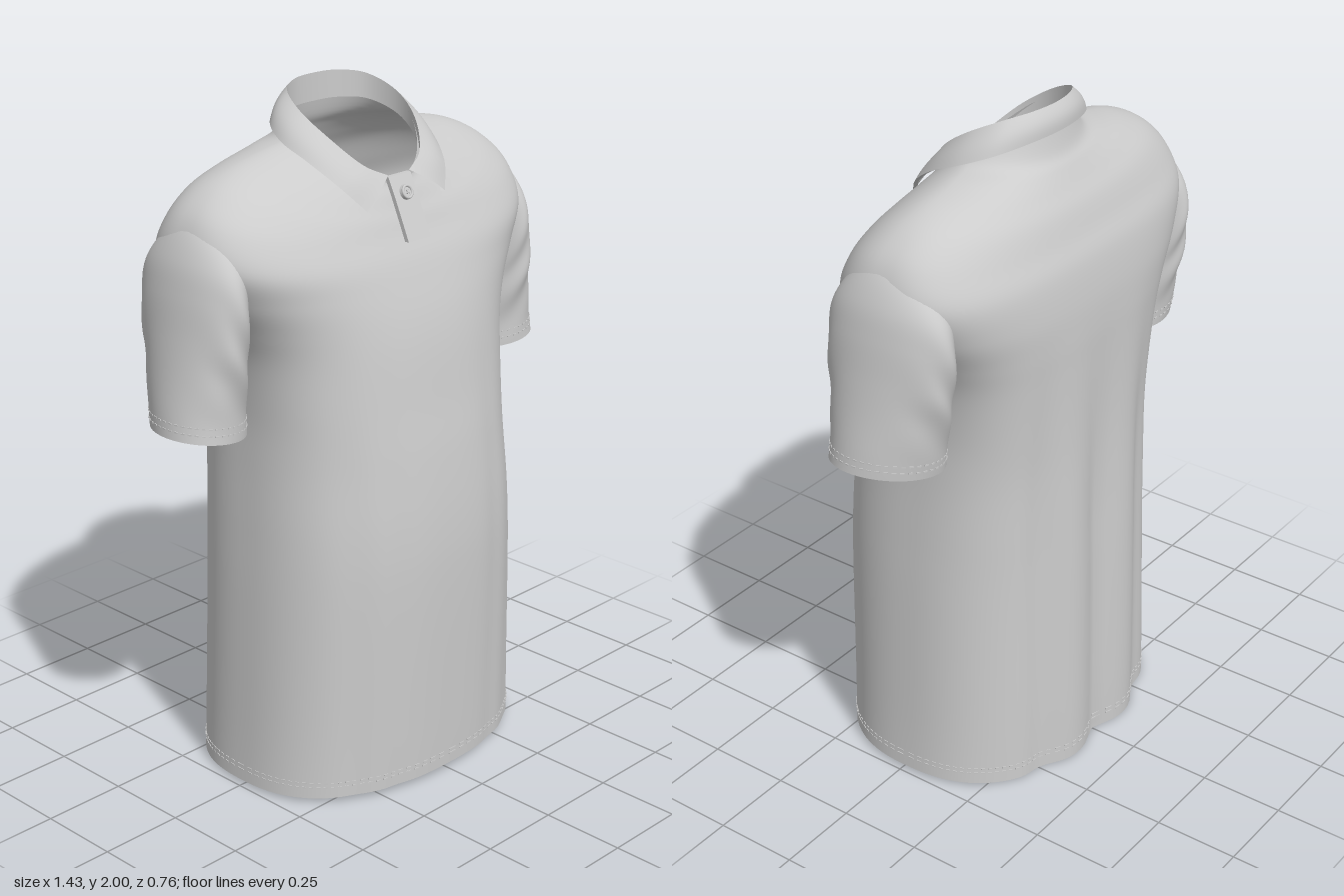
import * as THREE from 'three';
import { mergeGeometries } from 'three/addons/utils/BufferGeometryUtils.js';

const cloth = new THREE.MeshStandardMaterial({ color: 0xcccccc, side: THREE.DoubleSide, roughness: 0.8 });
const V = (x, y, z) => new THREE.Vector3(x, y, z);
const bell = (x, c, w) => Math.exp(-(((x - c) / w) ** 2));
const spow = (t, e) => Math.sign(t) * Math.abs(t) ** e;

// Smooth blend through the rows of a table, v in 0..1
function sample(rows, v) {
  const f = v * (rows.length - 1), i = Math.min(Math.floor(f), rows.length - 2), t = f - i;
  const r = (k) => rows[Math.max(0, Math.min(rows.length - 1, k))];
  return rows[0].map((_, c) => {
    const [a, b, d, e] = [r(i - 1)[c], r(i)[c], r(i + 1)[c], r(i + 2)[c]];
    return b + 0.5 * t * (d - a + t * (2 * a - 5 * b + 4 * d - e + t * (3 * (b - d) + e - a)));
  });
}

// Skin a grid of points; closed grids wrap around in u
function skin(fn, nu, nv, closed) {
  const pos = [], index = [], cols = closed ? nu : nu + 1;
  for (let j = 0; j <= nv; j++)
    for (let i = 0; i < cols; i++) pos.push(...fn(i / nu, j / nv).toArray());
  for (let j = 0; j < nv; j++)
    for (let i = 0; i < nu; i++) {
      const a = j * cols + i, b = j * cols + ((i + 1) % cols);
      index.push(a, a + cols, b, b, a + cols, b + cols);
    }
  const g = new THREE.BufferGeometry();
  g.setAttribute('position', new THREE.Float32BufferAttribute(pos, 3));
  g.setIndex(index);
  g.computeVertexNormals();
  return g;
}

// Torso rings: half width, front z, back z, side y, front y, back y, centre z, front and back squareness
const torsoRows = [
  [0.485, 0.37, -0.375, 0.015, 0.025, 0.005, 0, 2.4, 2.5],
  [0.475, 0.375, -0.375, 0.2, 0.2, 0.2, 0, 2.4, 2.5],
  [0.46, 0.383, -0.368, 0.6, 0.6, 0.6, 0, 2.4, 2.5],
  [0.45, 0.378, -0.362, 0.8, 0.8, 0.8, 0, 2.4, 2.6],
  [0.44, 0.358, -0.357, 1, 1, 1, -0.01, 2.4, 2.7],
  [0.44, 0.335, -0.355, 1.15, 1.15, 1.15, -0.02, 2.5, 2.9],
  [0.46, 0.313, -0.355, 1.3, 1.3, 1.3, -0.04, 2.5, 3],
  [0.5, 0.292, -0.355, 1.4, 1.4, 1.4, -0.05, 2.5, 3],
  [0.56, 0.265, -0.35, 1.5, 1.49, 1.5, -0.06, 2.6, 3],
  [0.61, 0.24, -0.335, 1.61, 1.56, 1.6, -0.065, 2.7, 2.9],
  [0.585, 0.212, -0.31, 1.71, 1.62, 1.67, -0.065, 2.6, 2.7],
  [0.515, 0.195, -0.285, 1.78, 1.66, 1.74, -0.07, 2.4, 2.5],
  [0.42, 0.18, -0.257, 1.824, 1.69, 1.79, -0.07, 2.2, 2.3],
  [0.31, 0.167, -0.232, 1.851, 1.72, 1.835, -0.07, 2.1, 2.1],
  [0.23, 0.155, -0.21, 1.872, 1.745, 1.875, -0.06, 2, 2],
  [0.191, 0.15, -0.189, 1.92, 1.765, 1.965, -0.045, 2, 2],
];

function torsoPoint(u, v) {
  const [w, zf, zb, ys, yf, yb, cz, nf, nb] = sample(torsoRows, v);
  const a = u * Math.PI * 2, s = Math.sin(a), e = 2 / (s > 0 ? nf : nb);
  const x = w * spow(Math.cos(a), e);
  let z = cz + (s > 0 ? zf - cz : cz - zb) * spow(s, e);
  const y = ys + ((s > 0 ? yf : yb) - ys) * Math.abs(s) ** 1.5;
  // soft hanging folds, deeper on the back
  const drape = 1 - THREE.MathUtils.smoothstep(y, 0.7, 1.5), ax = Math.abs(x);
  if (s < 0) z += s * s * drape * (0.028 * bell(ax, 0, 0.05) - 0.01 * bell(ax, 0.14, 0.06) + 0.022 * bell(ax, 0.25, 0.05));
  else z -= s * s * drape * (0.006 * bell(ax, 0.2, 0.04) + 0.01 * bell(ax, 0.33, 0.05));
  return V(x, y, z);
}

// Sleeve rings: inner x, inner y, outer x, outer y, front z, back z
const sleeveRows = [
  [0.44, 1.113, 0.715, 1.148, 0.1, -0.2],
  [0.445, 1.19, 0.705, 1.22, 0.1, -0.212],
  [0.452, 1.28, 0.688, 1.32, 0.112, -0.232],
  [0.465, 1.36, 0.672, 1.42, 0.124, -0.25],
  [0.475, 1.45, 0.655, 1.53, 0.13, -0.26],
  [0.475, 1.53, 0.632, 1.62, 0.115, -0.245],
  [0.455, 1.59, 0.587, 1.7, 0.07, -0.195],
  [0.42, 1.64, 0.52, 1.75, 0.01, -0.14],
];

function sleevePoint(u, v) {
  const [xi, yi, xo, yo, zf, zb] = sample(sleeveRows, v);
  const a = u * Math.PI * 2, c = Math.cos(a), s = Math.sin(a), k = (c + 1) / 2;
  // slanting wrinkles rising from the armpit; the outer fold sits slightly forward
  const crease = 1 + 0.035 * Math.sin(v * 24 - c * 5) * bell(v, 0.38, 0.22) * s * s;
  const forward = 0.025 * c * (1 - v);
  return V(xi + (xo - xi) * k, yi + (yo - yi) * k, (zf + zb) / 2 + ((zf - zb) / 2) * s * crease + forward);
}

// Dashed stitch line lying on a surface at height v
function stitches(fn, v, count) {
  const parts = [];
  for (let i = 0; i < count; i++) {
    const p = fn(i / count, v), q = fn((i + 0.55) / count, v);
    const g = new THREE.BoxGeometry(0.004, 0.004, p.distanceTo(q));
    const m = new THREE.Object3D();
    m.position.copy(p).lerp(q, 0.5);
    m.lookAt(q);
    m.updateMatrix();
    parts.push(g.applyMatrix4(m.matrix));
  }
  return mergeGeometries(parts);
}

// Half curves of the collar from front to back centre, mirrored into full ones
const collarCurve = (half) => new THREE.CatmullRomCurve3([
  ...half.map((p) => V(...p)),
  ...half.slice(0, -1).reverse().map(([x, y, z]) => V(-x, y, z)),
]);
const foldLine = collarCurve([
  [0.042, 1.775, 0.15], [0.11, 1.81, 0.125], [0.17, 1.885, 0.05], [0.187, 1.945, -0.04],
  [0.155, 1.985, -0.125], [0.085, 1.998, -0.17], [0, 2, -0.183],
]);
const leafEdge = collarCurve([
  [0.155, 1.7, 0.182], [0.208, 1.768, 0.13], [0.246, 1.833, 0.04], [0.253, 1.872, -0.05],
  [0.213, 1.905, -0.135], [0.115, 1.925, -0.19], [0, 1.93, -0.208],
]);

// Collar leaf: rolls over the fold line and falls to the pointed edge
function leafPoint(u, v) {
  const p = foldLine.getPoint(u).lerp(leafEdge.getPoint(u), v), bulge = 0.008 * Math.sin(Math.PI * v);
  const out = V(p.x, 0, p.z + 0.02).normalize();
  return p.addScaledVector(out, bulge).add(V(0, bulge * 0.3, 0));
}
// Thickness lip tucked back under the edge
const lipPoint = (u, v) => {
  const p = leafPoint(u, 1), out = V(p.x, 0, p.z + 0.02).normalize();
  return p.addScaledVector(out, -0.012 * v);
};
// Upright band inside the neck, running down behind the torso's neckline
const bandPoint = (u, v) => {
  const p = foldLine.getPoint(u), drop = 0.025 + 0.055 * Math.sin(Math.PI * u);
  return V(p.x, p.y - drop * v, p.z);
};

export function createModel() {
  const model = new THREE.Group();
  const add = (name, geometry, parent = model) => {
    const mesh = new THREE.Mesh(geometry, cloth);
    mesh.name = name;
    parent.add(mesh);
  };

  add('torso', skin(torsoPoint, 128, 90, true));
  for (const v of [0.02, 0.026]) add('hemStitching', stitches(torsoPoint, v, 110));

  // Sleeves, mirrored by reflecting x and reversing the ring direction
  for (const side of [1, -1]) {
    const sleeve = new THREE.Group();
    sleeve.name = side > 0 ? 'leftSleeve' : 'rightSleeve';
    const point = (u, v) => {
      const p = sleevePoint(side > 0 ? u : 1 - u, v);
      p.x *= side;
      return p;
    };
    add('sleeveBody', skin(point, 64, 48, true), sleeve);
    for (const v of [0.06, 0.095]) add('cuffStitching', stitches(point, v, 44), sleeve);
    model.add(sleeve);
  }

  const collar = new THREE.Group();
  collar.name = 'collar';
  add('collarLeaf', skin(leafPoint, 96, 10, false), collar);
  add('collarLip', skin(lipPoint, 96, 1, false), collar);
  add('collarBand', skin(bandPoint, 96, 4, false), collar);
  model.add(collar);

  // Button placket: thin side profile extruded across the chest
  const front = [[0.235, 1.603], [0.212, 1.655], [0.185, 1.715], [0.157, 1.772]];
  const back = front.map(([z, y]) => [z - 0.014, y]).reverse();
  const profile = new THREE.Shape([...front, ...back].map(([z, y]) => new THREE.Vector2(z, y)));
  const placket = new THREE.ExtrudeGeometry(profile, { depth: 0.088, bevelEnabled: false });
  add('placket', placket.rotateY(-Math.PI / 2).translate(0.04, 0, 0));

  // Button with a raised rim and crossed thread
  const button = new THREE.Group();
  button.name = 'button';
  add('buttonDisc', new THREE.CylinderGeometry(0.02, 0.022, 0.012, 24).rotateX(Math.PI / 2), button);
  add('buttonRim', new THREE.TorusGeometry(0.017, 0.004, 8, 24).translate(0, 0, 0.006), button);
  for (const a of [1, -1])
    add('buttonThread', new THREE.BoxGeometry(0.014, 0.003, 0.004).rotateZ((a * Math.PI) / 4).translate(0, 0, 0.007), button);
  button.position.set(-0.004, 1.727, 0.182);
  button.rotation.x = -0.4;
  model.add(button);
  return model;
}
